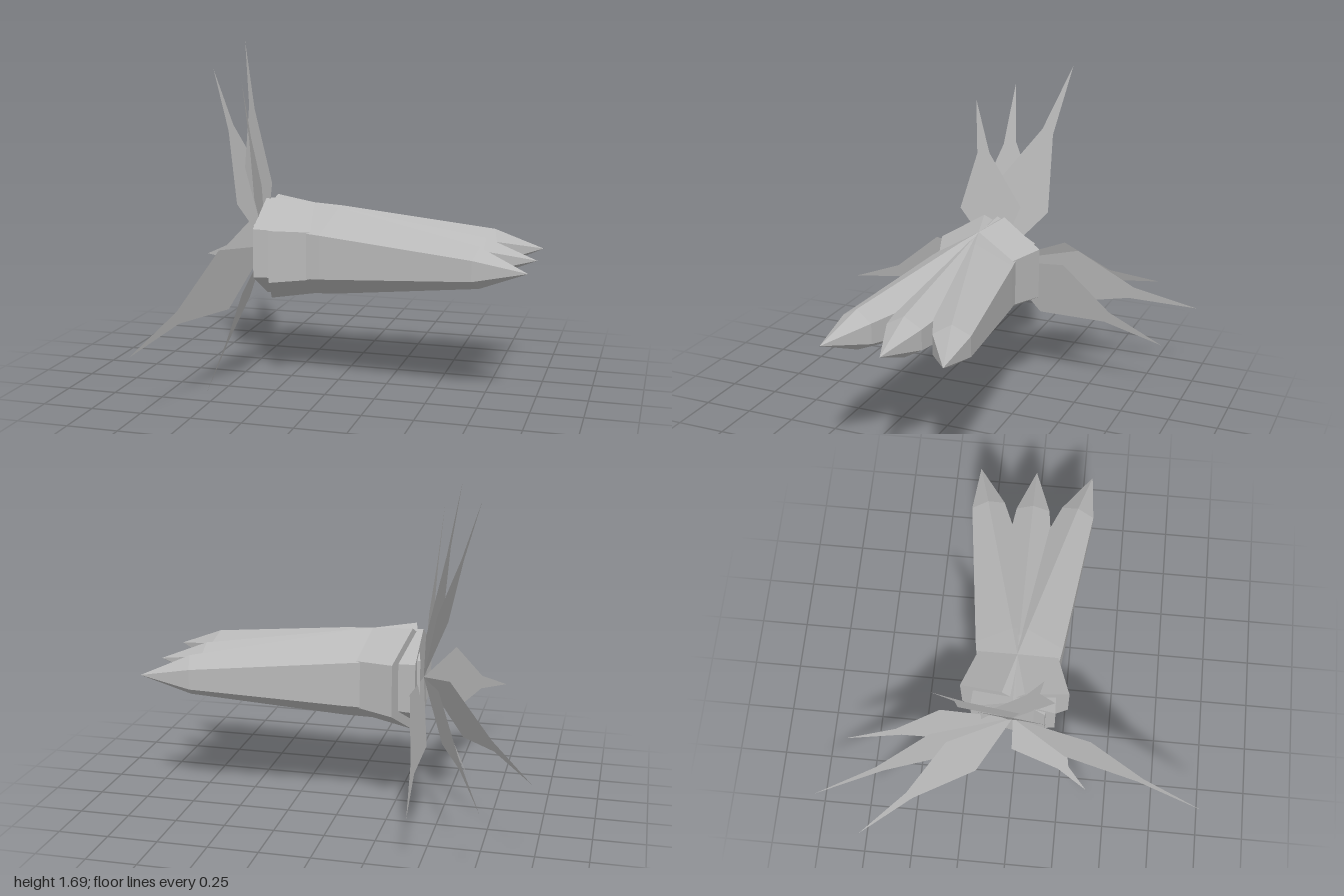
import * as THREE from 'three';

const grey = new THREE.MeshStandardMaterial({ color: 0xb8b8b8, side: THREE.DoubleSide });
grey.name = 'plain grey';

// Six-sided tapering pod lying along +x with a ridge on top; its base is at the origin
function podGeometry(baseRadius) {
  const profile = [[0, 0], [baseRadius, 0], [0.217, 0.36], [0.1, 1.12], [0, 1.365]];
  const lathe = new THREE.LatheGeometry(profile.map(([r, s]) => new THREE.Vector2(r, s)), 6);
  const geometry = lathe.toNonIndexed();
  geometry.rotateX(-Math.PI / 2).rotateY(-Math.PI / 2);
  geometry.computeVertexNormals();
  return geometry;
}

// Flat leaf from the crown to its tip: wide at a third, pinched at two thirds
const crown = new THREE.Vector3(-0.385, 0.67, -0.01);
function leafGeometry(tip, side) {
  const at = (t, w) => crown.clone().lerp(tip, t).addScaledVector(side, w);
  const base = crown, end = tip;
  const wideA = at(0.335, 1), wideB = at(0.335, -1);
  const pinchA = at(0.67, 0.2), pinchB = at(0.67, -0.2);
  const geometry = new THREE.BufferGeometry().setFromPoints([
    base, wideB, wideA,
    wideB, pinchB, pinchA,
    wideB, pinchA, wideA,
    pinchB, end, pinchA,
  ]);
  geometry.computeVertexNormals();
  return geometry;
}

export function createModel() {
  const model = new THREE.Group();
  model.name = 'podCluster';

  function add(name, geometry) {
    const mesh = new THREE.Mesh(geometry, grey);
    mesh.name = name;
    model.add(mesh);
    return mesh;
  }

  // Three pods fanning out and crossing near their bases
  add('middlePod', podGeometry(0.243)).position.set(-0.38, 0.673, -0.01);
  for (const side of [-1, 1]) {
    const pod = add(side > 0 ? 'frontPod' : 'backPod', podGeometry(0.257));
    pod.position.set(-0.337, 0.673, -0.01 - side * 0.056);
    pod.rotation.y = -side * 0.263;
  }

  // Leaves: tip position, then half-width direction
  const leaves = {
    lowerLeaf: [[-0.56, 0, 0.4], [0.03, 0.043, 0.137]],
    frontLeaf: [[-0.69, 0.34, 0.99], [0, 0.16, 0.06]],
    upperFrontLeaf: [[-0.45, 1.51, 0.14], [0.035, -0.01, 0.155]],
    upperMiddleLeaf: [[-0.65, 1.56, 0], [0, 0.06, -0.17]],
    upperBackLeaf: [[-0.6, 1.69, -0.33], [0.02, -0.06, -0.15]],
    longBackLeaf: [[-0.8, 0.4, -0.99], [0, 0.155, -0.07]],
    lowBackLeaf: [[-0.47, 0.3, -0.89], [0.03, 0.15, -0.07]],
    trailingLeaf: [[-0.99, 0.45, -0.73], [0.025, 0.16, -0.07]],
  };
  for (const [name, [tip, side]] of Object.entries(leaves)) {
    add(name, leafGeometry(new THREE.Vector3(...tip), new THREE.Vector3(...side)));
  }

  return model;
}
